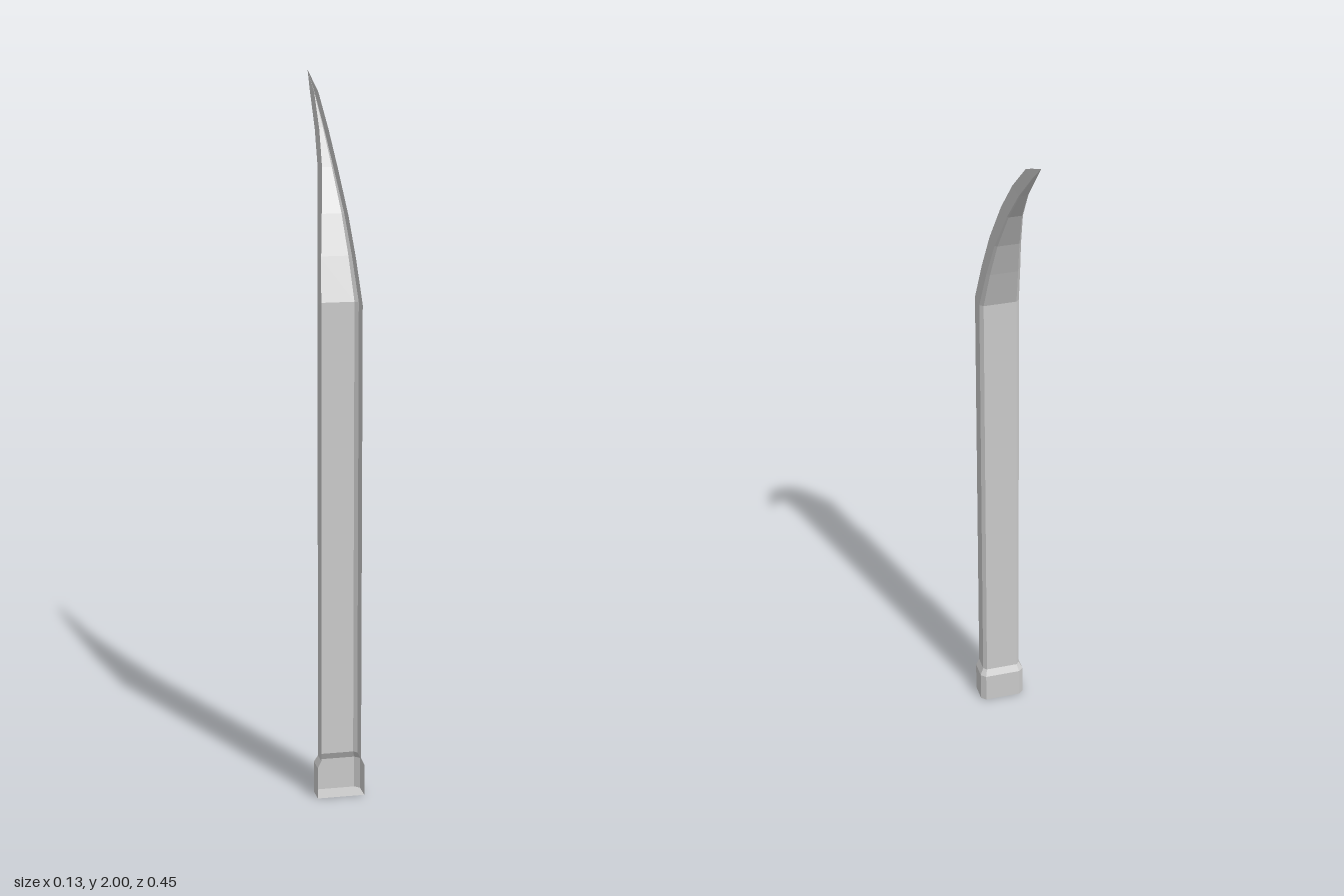
import * as THREE from 'three';

const material = new THREE.MeshStandardMaterial({
  color: 0xcccccc, flatShading: true, side: THREE.DoubleSide,
});

// Open channel outline: two side walls, two chamfers and a back, open at the front
function section({ y, half, front, back, backHalf = half * 0.83, chamfer = half * 0.17 }) {
  const side = [[half, front], [half, back + chamfer], [backHalf, back]];
  const mirrored = side.map(([x, z]) => [-x, z]).reverse();
  return [...side, ...mirrored].map(([x, z]) => [x, y, z]);
}

// Thin folded sheet running through a stack of sections
function channel(name, stations, closedBottom = false) {
  const rows = stations.map(section);
  const positions = [];
  for (let i = 0; i < rows.length - 1; i++) {
    for (let j = 0; j < 5; j++) {
      const a = rows[i][j], b = rows[i][j + 1], c = rows[i + 1][j + 1], d = rows[i + 1][j];
      positions.push(...a, ...b, ...c, ...a, ...c, ...d);
    }
  }
  if (closedBottom) {
    for (let j = 1; j < 5; j++) positions.push(...rows[0][0], ...rows[0][j + 1], ...rows[0][j]);
  }
  const geometry = new THREE.BufferGeometry();
  geometry.setAttribute('position', new THREE.Float32BufferAttribute(positions, 3));
  geometry.computeVertexNormals();
  const mesh = new THREE.Mesh(geometry, material);
  mesh.name = name;
  return mesh;
}

export function createModel() {
  const group = new THREE.Group();
  group.name = 'curvedSpike';

  const shaftBottom = { y: 0.11, half: 0.057, front: 0.225, back: 0.168 };
  const shaftTop = { ...shaftBottom, y: 1.4 };

  // Flared foot with a floor
  const footBottom = { y: 0, half: 0.067, front: 0.225, back: 0.157, backHalf: 0.053, chamfer: 0.013 };
  group.add(channel('foot', [footBottom, { ...footBottom, y: 0.09 }, shaftBottom], true));

  // Straight upright channel
  group.add(channel('shaft', [shaftBottom, shaftTop]));

  // Tapering blade sweeping backwards to a point
  group.add(channel('blade', [
    shaftTop,
    { y: 1.52, half: 0.048, front: 0.182, back: 0.125 },
    { y: 1.63, half: 0.037, front: 0.138, back: 0.08 },
    { y: 1.75, half: 0.022, front: 0.075, back: 0.012 },
    { y: 1.85, half: 0.013, front: -0.004, back: -0.068 },
    { y: 1.945, half: 0.006, front: -0.105, back: -0.164 },
    { y: 2, half: 0, front: -0.223, back: -0.223 },
  ]));

  return group;
}
